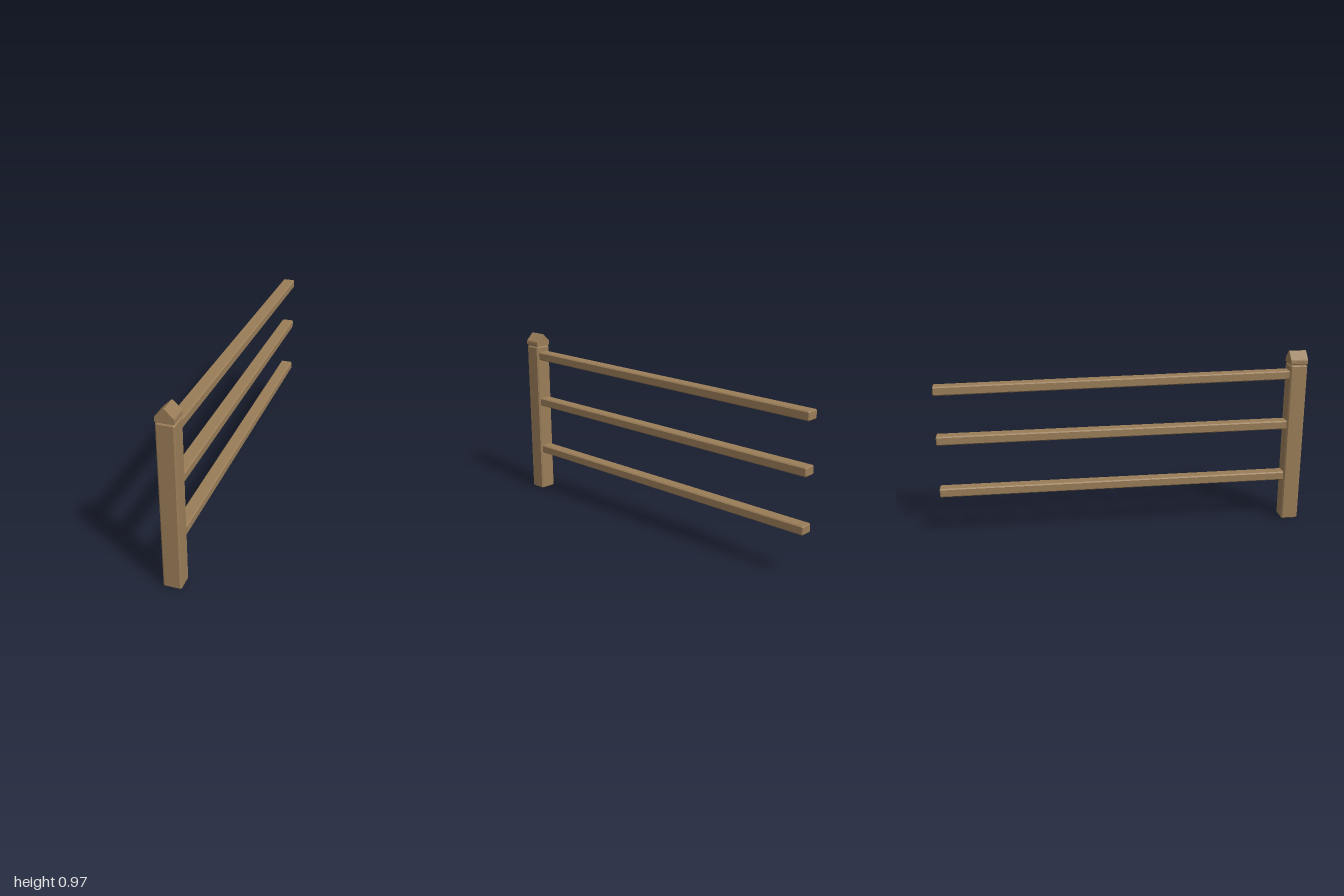
import * as THREE from 'three';

// Timber of w x h section running along +z from 0 to length, with chamfered edges and ends
function timber(w, h, length, b) {
  const x = w / 2 - b, y = h / 2 - b, c = b * 0.6;
  const section = new THREE.Shape([
    [x - c, -y], [x, -y + c], [x, y - c], [x - c, y],
    [-x + c, y], [-x, y - c], [-x, -y + c], [-x + c, -y],
  ].map(([px, py]) => new THREE.Vector2(px, py)));
  return new THREE.ExtrudeGeometry(section, {
    depth: length - 2 * b, bevelEnabled: true, bevelSize: b, bevelThickness: b, bevelSegments: 1,
  }).translate(0, 0, b);
}

export function createModel() {
  const group = new THREE.Group();
  const wood = new THREE.MeshStandardMaterial({ color: 0x9a7d58 });
  wood.name = 'weatheredWood';

  const add = (name, geometry) => {
    const mesh = new THREE.Mesh(geometry, wood);
    mesh.name = name;
    group.add(mesh);
    return mesh;
  };

  const postZ = 0.953, postSize = 0.094;

  // Upright post
  const post = add('post', timber(postSize, postSize, 0.897, 0.006));
  post.rotation.x = -Math.PI / 2;
  post.position.z = postZ;

  // Narrow neck between post and cap
  add('neck', new THREE.BoxGeometry(0.082, 0.02, 0.082).translate(0, 0.9, postZ));

  // Gabled cap with softened ridge and eaves
  const gable = new THREE.Shape([
    [-0.043, 0.902], [0.043, 0.902], [0.047, 0.906], [0.047, 0.922], [0.045, 0.929],
    [0.005, 0.969], [0, 0.971], [-0.005, 0.969],
    [-0.045, 0.929], [-0.047, 0.922], [-0.047, 0.906],
  ].map(([x, y]) => new THREE.Vector2(x, y)));
  add('cap', new THREE.ExtrudeGeometry(gable, { depth: postSize, bevelEnabled: false })
    .translate(0, 0, postZ - postSize / 2));

  // Rails from the post to the far end: height at the post and at the far end
  const rails = [['topRail', 0.842, 0.822], ['middleRail', 0.558, 0.551], ['bottomRail', 0.257, 0.257]];
  for (const [name, yPost, yEnd] of rails) {
    const length = 1.93;
    const geometry = timber(0.068, 0.048, length, 0.005).translate(0, 0, -1);
    // Slope the rail while keeping its ends upright
    const p = geometry.attributes.position;
    for (let i = 0; i < p.count; i++) {
      p.setY(i, p.getY(i) + yEnd + (yPost - yEnd) * (p.getZ(i) + 1) / length);
    }
    geometry.computeVertexNormals();
    add(name, geometry);
  }
  return group;
}
